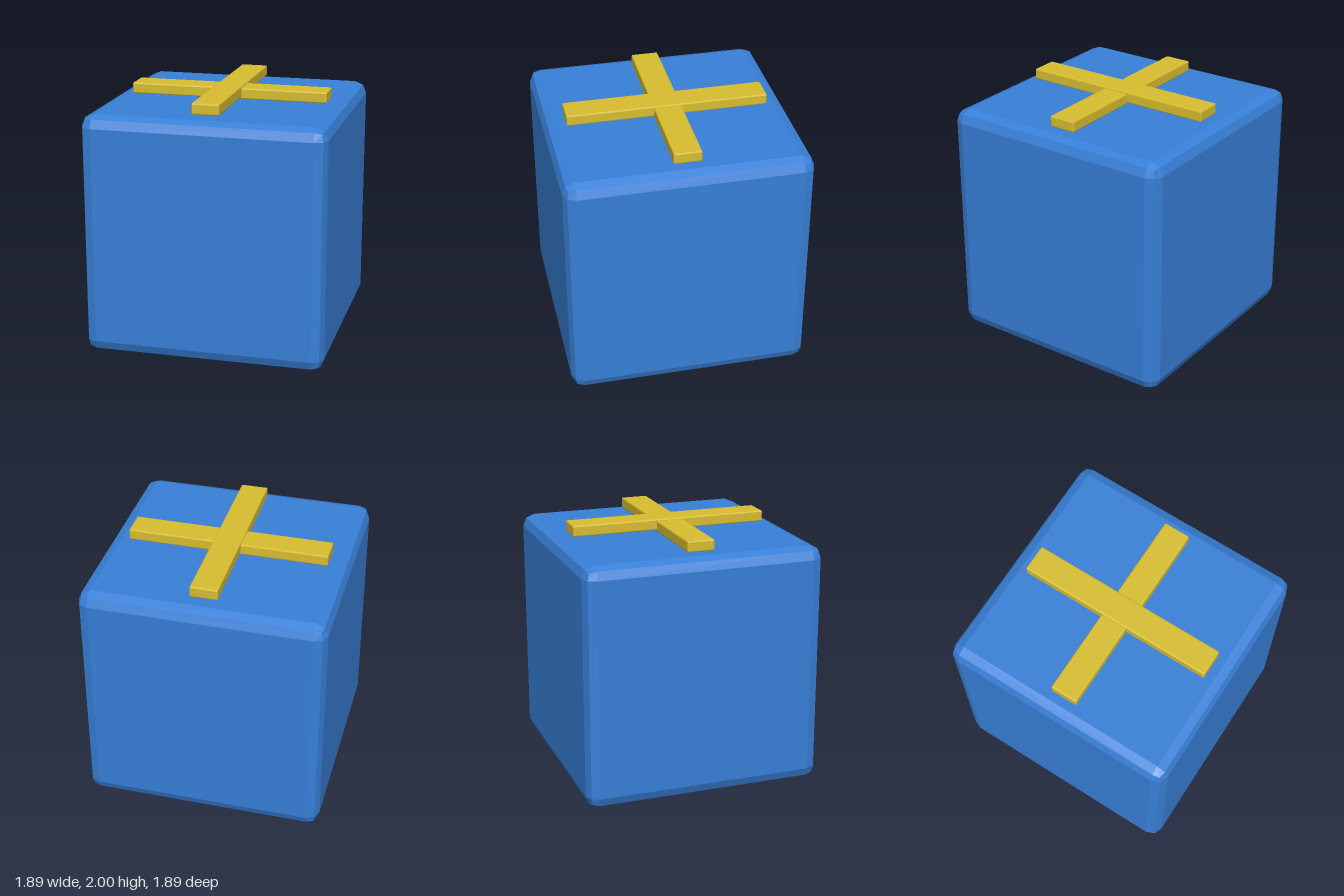
import * as THREE from 'three';
import { RoundedBoxGeometry } from 'three/addons/geometries/RoundedBoxGeometry.js';

export function createModel() {
  const model = new THREE.Group();
  const blue = new THREE.MeshStandardMaterial({ color: 0x3880d8 });
  blue.name = 'boxBlue';
  const yellow = new THREE.MeshStandardMaterial({ color: 0xd8be30 });
  yellow.name = 'ribbonYellow';

  // Block with faceted bevels, standing with its centre at height y
  function block(name, material, w, h, d, bevel, y) {
    const geometry = new RoundedBoxGeometry(w, h, d, 1, bevel);
    geometry.computeVertexNormals(); // unshared corners give flat facets
    const mesh = new THREE.Mesh(geometry, material);
    mesh.name = name;
    mesh.position.y = y;
    model.add(mesh);
  }

  // Box body
  block('box', blue, 1.887, 1.89, 1.887, 0.094, 0.945);

  // Crossed ribbon bars, the front-to-back one slightly higher
  block('crossRibbon', yellow, 1.57, 0.086, 0.215, 0.01, 1.943);
  block('lengthRibbon', yellow, 0.215, 0.086, 1.57, 0.01, 1.957);

  return model;
}
